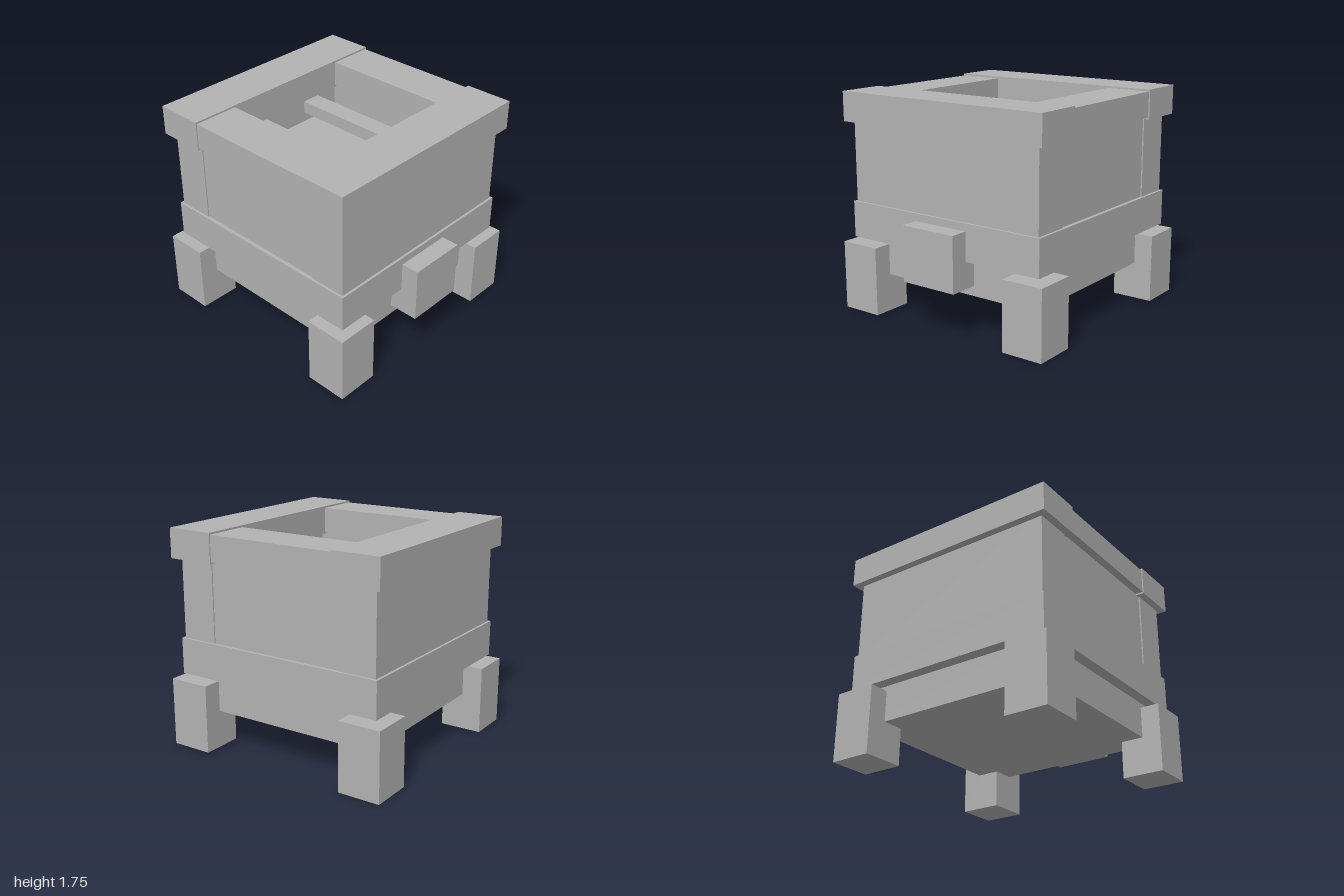
import * as THREE from 'three';

export function createModel() {
  const group = new THREE.Group();
  group.name = 'woodenPlanter';
  const grey = new THREE.MeshStandardMaterial({ color: 0xb2b2b2 });
  grey.name = 'plainGrey';

  // Box given by its extents along each axis
  function block(name, [x0, x1], [y0, y1], [z0, z1]) {
    const mesh = new THREE.Mesh(new THREE.BoxGeometry(x1 - x0, y1 - y0, z1 - z0), grey);
    mesh.position.set((x0 + x1) / 2, (y0 + y1) / 2, (z0 + z1) / 2);
    mesh.name = name;
    group.add(mesh);
  }
  // Extents mirrored to the left (+1) or right (-1) side
  const side = (s, a, b) => (s > 0 ? [a, b] : [-b, -a]);

  // Base and lower band
  block('base', [-0.8, 0.8], [0.3, 0.6], [-0.835, 0.76]);
  block('lowerBand', [-0.89, 0.89], [0.59, 0.88], [-0.93, 0.855]);

  // Front and back walls with the rim beams above them
  block('frontWall', [-0.87, 0.87], [0.87, 1.52], [0.54, 0.835]);
  block('backWall', [-0.87, 0.87], [0.87, 1.52], [-0.91, -0.61]);
  block('frontRim', [-0.93, 0.93], [1.515, 1.75], [0.5, 0.89]);
  block('backRim', [-0.93, 0.93], [1.515, 1.75], [-0.97, -0.58]);

  // Raised inner floor
  block('innerFloor', [-0.6, 0.6], [0.87, 1.31], [-0.63, 0.56]);

  for (const s of [1, -1]) {
    const label = s > 0 ? 'left' : 'right';
    block(label + 'Wall', side(s, 0.57, 0.86), [0.87, 1.525], [-0.62, 0.55]);
    block(label + 'Rim', side(s, 0.55, 0.92), [1.53, 1.735], [-0.59, 0.51]);
    // Slat across the opening
    block(label + 'Slat', side(s, 0.21, 0.37), [1.39, 1.49], [-0.62, 0.55]);
    // Legs
    block(label + 'FrontLeg', side(s, 0.615, 0.955), [0, 0.55], [0.575, 0.915]);
    block(label + 'BackLeg', side(s, 0.615, 0.955), [0, 0.55], [-1, -0.655]);
  }

  // Front latch block
  block('frontLatch', [-0.24, 0.24], [0.38, 0.82], [0.7, 1]);

  return group;
}
